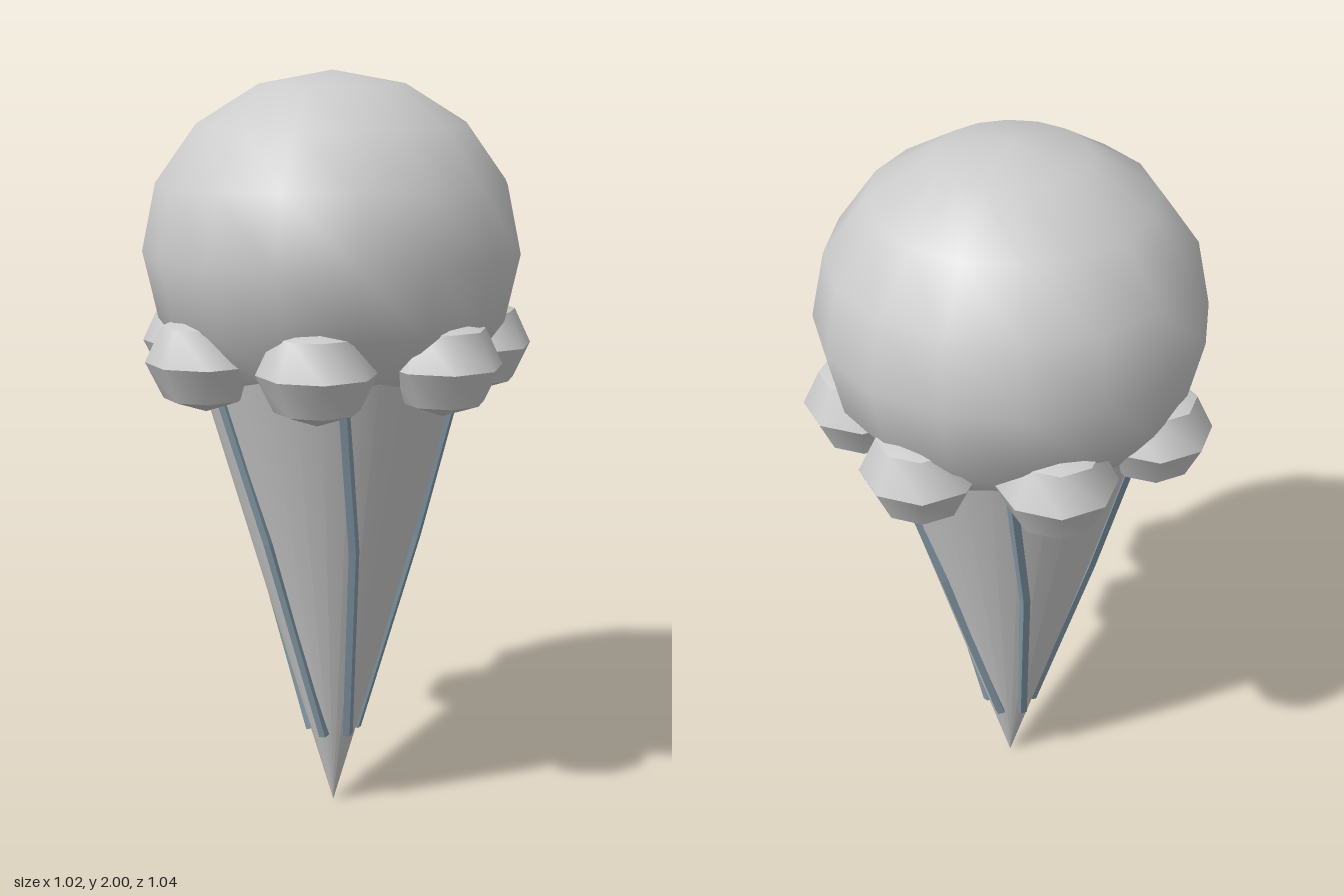
import * as THREE from 'three';
import { toCreasedNormals } from 'three/addons/utils/BufferGeometryUtils.js';

const CONE_HEIGHT = 1.4;
const CONE_RADIUS = 0.4;

// Point on the cone surface at a height and an angle in degrees (from +x towards +z)
function onCone(y, degrees) {
  const a = THREE.MathUtils.degToRad(degrees);
  const r = (CONE_RADIUS * y) / CONE_HEIGHT;
  return new THREE.Vector3(r * Math.cos(a), y, r * Math.sin(a));
}

export function createModel() {
  const model = new THREE.Group();
  model.name = 'iceCreamCone';
  const grey = new THREE.MeshStandardMaterial({ color: 0xcccccc });
  const thin = new THREE.MeshStandardMaterial({ color: 0xcccccc, side: THREE.DoubleSide });
  const blue = new THREE.MeshStandardMaterial({ color: 0x889daa, side: THREE.DoubleSide, flatShading: true });

  // Everything sits on one upright axis, slightly off centre
  const add = (name, geometry, material) => {
    const mesh = new THREE.Mesh(geometry, material);
    mesh.name = name;
    mesh.position.x = -0.02;
    model.add(mesh);
    return mesh;
  };

  // Cone, point down, open under the scoop
  const cone = new THREE.ConeGeometry(CONE_RADIUS, CONE_HEIGHT, 32, 1, true);
  cone.rotateX(Math.PI).translate(0, CONE_HEIGHT / 2, 0);
  add('cone', cone, thin);

  // Slightly flattened scoop
  const scoop = new THREE.SphereGeometry(0.49, 16, 8);
  scoop.scale(1, 0.45 / 0.49, 1).translate(0, 1.55, 0);
  add('scoop', scoop, grey);

  // Ring of seven faceted blobs around the rim, all with the same orientation
  const blob = toCreasedNormals(new THREE.SphereGeometry(0.15, 8, 4).scale(1, 0.86, 1), 0.75);
  for (let i = 0; i < 7; i++) {
    const a = (i / 7) * Math.PI * 2;
    const mesh = add('rimBlob' + (i + 1), blob, grey);
    mesh.position.add(new THREE.Vector3(0.38 * Math.cos(a), 1.293, 0.38 * Math.sin(a)));
  }

  // Six thin ridges twisting down the cone
  for (let i = 0; i < 6; i++) {
    const turn = i * 60;
    const path = new THREE.CatmullRomCurve3([
      onCone(1.38, turn + 35),
      onCone(0.8, turn + 24),
      onCone(0.22, turn),
    ]);
    add('coneRidge' + (i + 1), new THREE.TubeGeometry(path, 2, 0.016, 5), blue);
  }

  return model;
}
